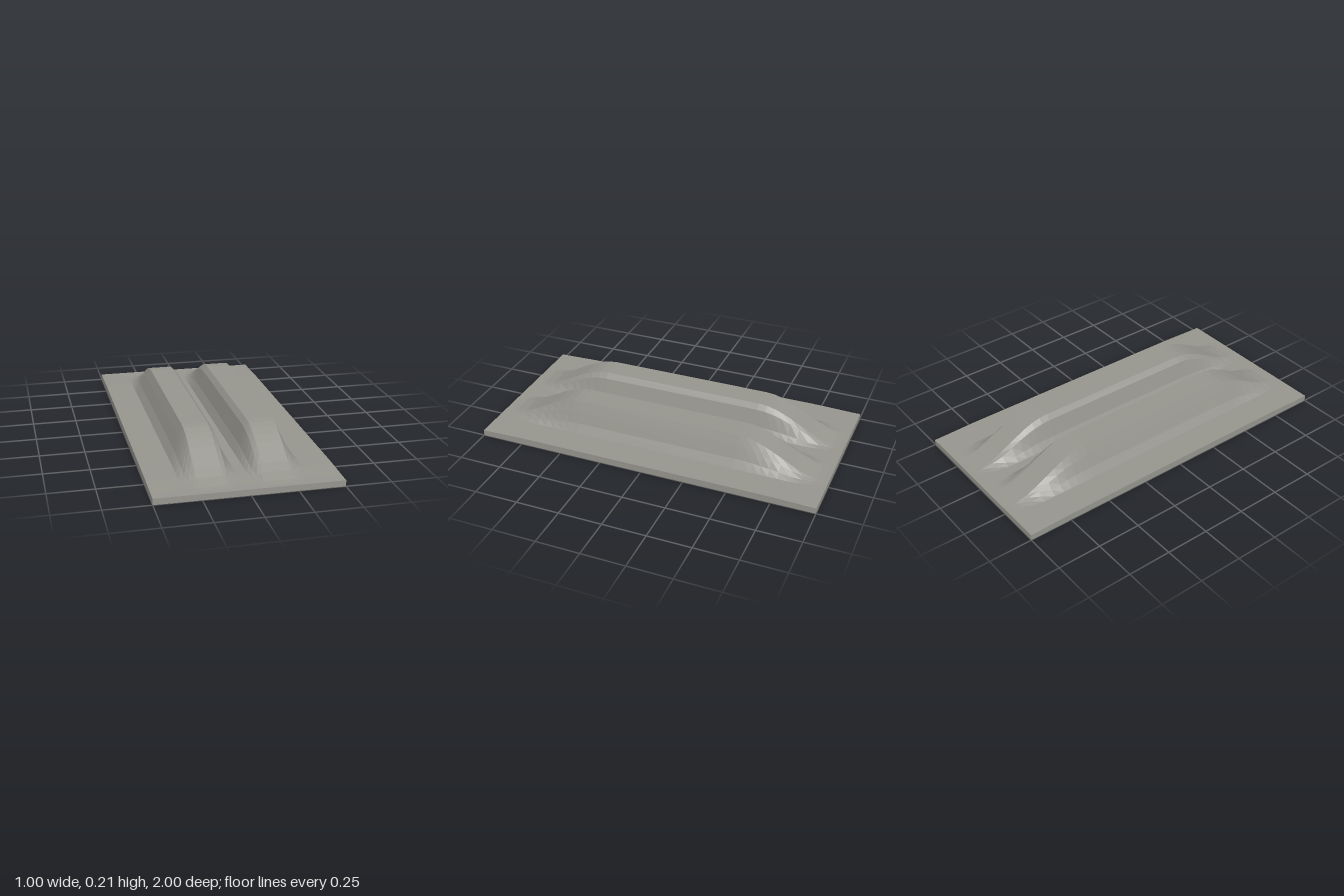
import * as THREE from 'three';

// Half cross-section of the panel: [x, share of ridge height]
const HALF = [[0.028, 0], [0.055, 0.28], [0.085, 0.83], [0.11, 1], [0.25, 1], [0.275, 0.68], [0.303, 0.28], [0.333, 0], [0.5, 0]];
const PROFILE = [...HALF.map(([x, s]) => [-x, s]).reverse(), [0, 0], ...HALF];

// Stations along the length, closer together where the ridge ends slope down
const FRONT = [0.48, 0.53, 0.58, 0.63, 0.68, 0.735, 0.8, 0.86, 0.93, 0.97, 1];
const STATIONS = [...FRONT.map((z) => -z).reverse(), ...FRONT];

const RIDGE_CENTRE = 0.18;

// 0 along the flat top of the ridge, 1 beyond its toe
function slope(z) {
  const t = THREE.MathUtils.clamp((Math.abs(z) - 0.48) / 0.49, 0, 1);
  return (1 - Math.cos(Math.PI * t)) / 2;
}

function createPanelGeometry() {
  const nx = PROFILE.length - 1;
  const nz = STATIONS.length - 1;
  const geometry = new THREE.BoxGeometry(1, 1, 1, nx, 1, nz);
  const position = geometry.attributes.position;
  for (let i = 0; i < position.count; i++) {
    const [px, share] = PROFILE[Math.round((position.getX(i) + 0.5) * nx)];
    const z = STATIONS[Math.round((position.getZ(i) + 0.5) * nz)];
    const isTop = position.getY(i) > 0;
    const drop = slope(z);

    // The foot of each ridge pulls in slightly towards its ends
    let x = px;
    if (px !== 0 && Math.abs(px) < 0.5 && share < 1) {
      const centre = Math.sign(px) * RIDGE_CENTRE;
      const pull = THREE.MathUtils.smoothstep(Math.abs(z), 0.78, 0.97);
      x = centre + (px - centre) * (1 - 0.22 * pull);
    }

    // Thin sheet, a touch thinner at the ends, with the ridge raised on it
    const sheet = 0.04 - 0.006 * THREE.MathUtils.smoothstep(Math.abs(z), 0.7, 1);
    const y = isTop ? sheet + 0.17 * share * (1 - drop) : 0;
    position.setXYZ(i, x, y, z);
  }
  geometry.computeVertexNormals();
  return geometry;
}

export function createModel() {
  const group = new THREE.Group();
  group.name = 'ribbedPanel';

  const warmGrey = new THREE.MeshStandardMaterial({ color: 0x95948d, flatShading: true });
  warmGrey.name = 'warm grey';

  // Sheet and both raised ribs form one continuous pressed surface
  const panel = new THREE.Mesh(createPanelGeometry(), warmGrey);
  panel.name = 'pressedPanel';
  group.add(panel);
  return group;
}
